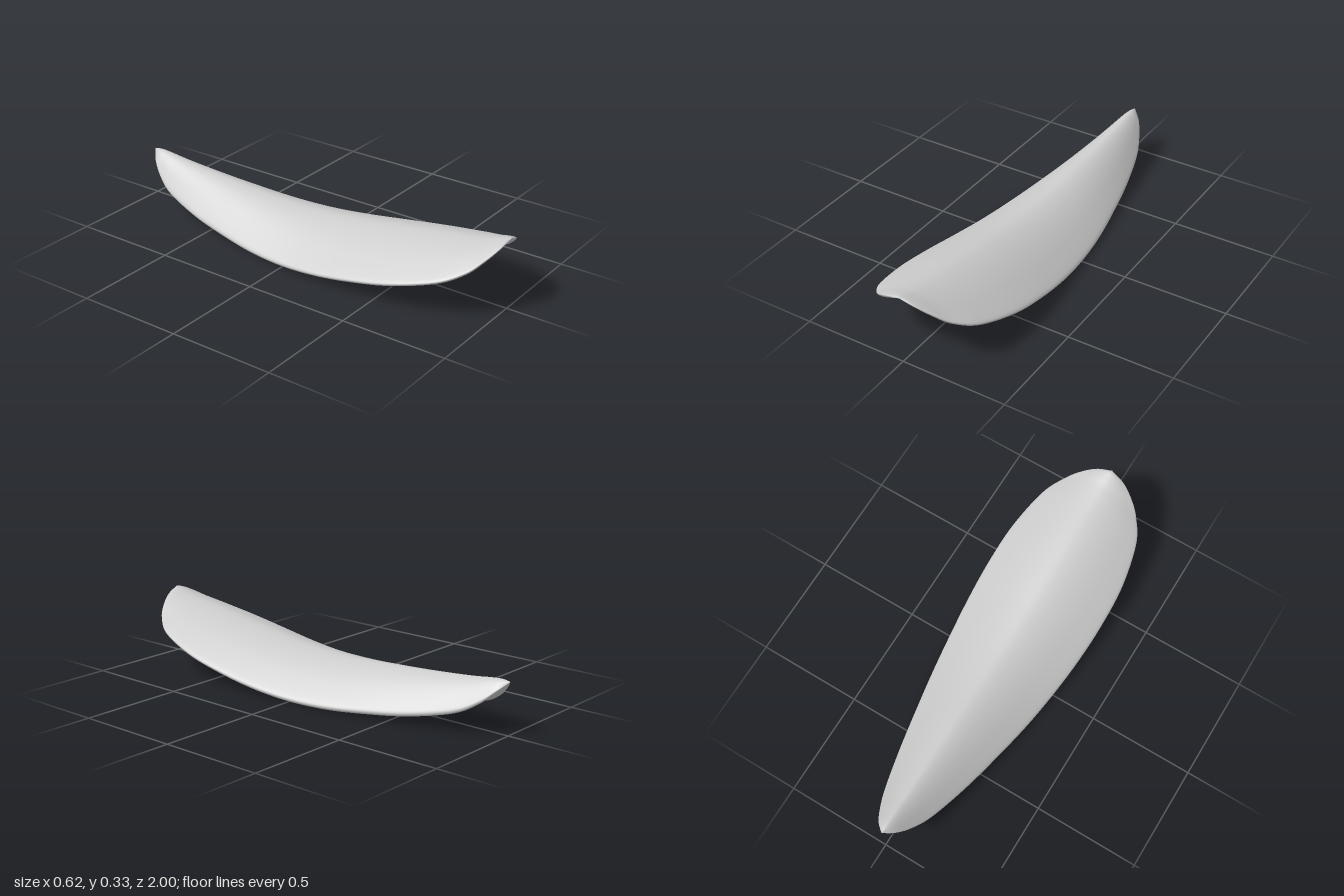
import * as THREE from 'three';

// Stations from front tip to back tip: [z, half width, lowest y, ridge y]
const STATIONS = [
  [1, 0, 0.331, 0.333], [0.985, 0.072, 0.302, 0.333], [0.95, 0.14, 0.258, 0.324],
  [0.9, 0.198, 0.211, 0.311], [0.8, 0.26, 0.163, 0.293], [0.6, 0.304, 0.106, 0.264],
  [0.4, 0.313, 0.063, 0.234], [0.2, 0.305, 0.027, 0.206], [0, 0.285, 0.005, 0.188],
  [-0.2, 0.257, 0.002, 0.185], [-0.4, 0.22, 0.016, 0.194], [-0.6, 0.178, 0.04, 0.207],
  [-0.8, 0.125, 0.085, 0.225], [-0.9, 0.083, 0.138, 0.238], [-0.96, 0.045, 0.193, 0.243],
  [-1, 0, 0.236, 0.238],
];

// Right half of the cross-section: [fraction of half width, fraction of height]
const HALF = [
  [0, 1], [0.2, 0.94], [0.4, 0.805], [0.6, 0.615], [0.8, 0.38], [0.93, 0.215], [0.985, 0.13],
  [0.997, 0.07], [0.965, 0.014], [0.88, 0.003], [0.74, 0.05], [0.55, 0.185],
  [0.37, 0.32], [0.185, 0.43], [0, 0.47],
];

export function createModel() {
  const group = new THREE.Group();
  const rows = 96, cols = 96;

  const outline = new THREE.CatmullRomCurve3(
    STATIONS.map(([z, w]) => new THREE.Vector3(w, 0, z)), false, 'catmullrom', 0.5);
  const heights = new THREE.CatmullRomCurve3(
    STATIONS.map(([, , low, ridge]) => new THREE.Vector3(low, ridge, 0)), false, 'catmullrom', 0.5);

  // Closed arched section: right half followed by its mirror
  const mirrored = HALF.slice(1, -1).reverse().map(([x, y]) => [-x, y]);
  const section = new THREE.CatmullRomCurve3(
    [...HALF, ...mirrored].map(([x, y]) => new THREE.Vector3(x, y, 0)), true, 'catmullrom', 0.5);
  const ring = Array.from({ length: cols }, (_, j) => section.getPoint(j / cols));

  // Sweep the section along the length
  const positions = [], index = [];
  for (let i = 0; i <= rows; i++) {
    const o = outline.getPoint(i / rows), h = heights.getPoint(i / rows);
    for (const p of ring) {
      positions.push(p.x * o.x, h.x + p.y * (h.y - h.x), o.z);
    }
  }
  for (let i = 0; i < rows; i++) {
    for (let j = 0; j < cols; j++) {
      const k = (j + 1) % cols;
      const a = i * cols + j, b = i * cols + k, c = a + cols, d = b + cols;
      index.push(a, b, c, b, d, c);
    }
  }
  const geometry = new THREE.BufferGeometry();
  geometry.setAttribute('position', new THREE.Float32BufferAttribute(positions, 3));
  geometry.setIndex(index);
  geometry.computeVertexNormals();

  const shell = new THREE.Mesh(geometry, new THREE.MeshStandardMaterial({ color: 0xcccccc }));
  shell.name = 'archedLeafShell';
  group.add(shell);
  return group;
}
